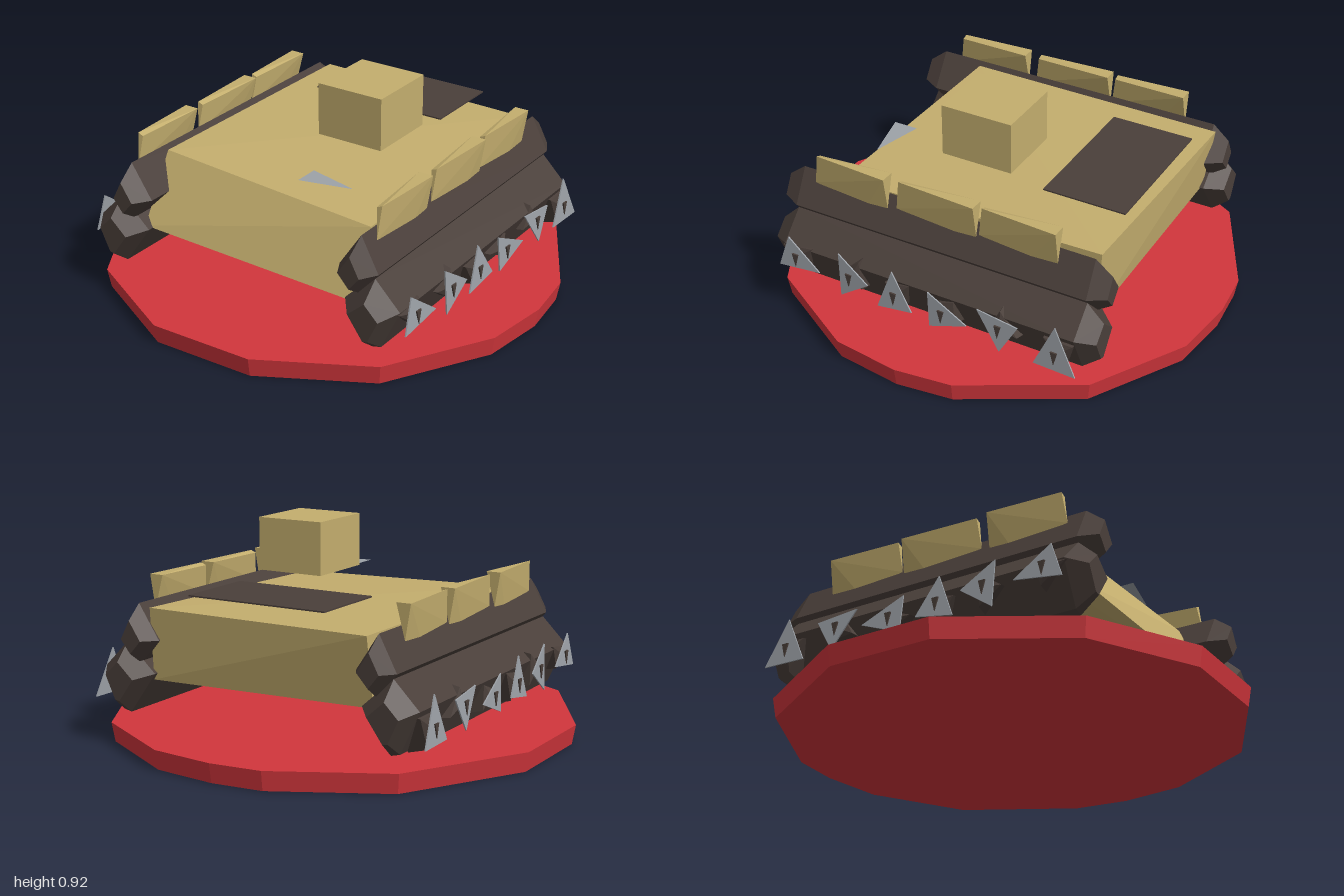
import * as THREE from 'three';
import { ConvexGeometry } from 'three/addons/geometries/ConvexGeometry.js';

const mat = (name, color, side = THREE.FrontSide) => {
  const m = new THREE.MeshStandardMaterial({ color, side });
  m.name = name;
  return m;
};

export function createModel() {
  const model = new THREE.Group();
  model.name = 'toyTank';
  const red = mat('red', 0xd2363c);
  const tan = mat('tan', 0xc4ae6e);
  const brown = mat('darkBrown', 0x4a3f3a);
  const grey = mat('steelGrey', 0x9da2a8, THREE.DoubleSide);

  const add = (parent, name, geometry, material) => {
    const m = new THREE.Mesh(geometry, material);
    m.name = name;
    parent.add(m);
    return m;
  };
  const solid = (pts) => new ConvexGeometry(pts.map((p) => new THREE.Vector3(...p)));
  const box = (x0, x1, y0, y1, z0, z1) =>
    new THREE.BoxGeometry(x1 - x0, y1 - y0, z1 - z0)
      .translate((x0 + x1) / 2, (y0 + y1) / 2, (z0 + z1) / 2);

  // Faceted round base
  const rim = [[-0.23, -0.98], [0, -1], [0.29, -0.965], [0.7, -0.73], [0.97, -0.25], [1, 0], [0.96, 0.3],
    [0.7, 0.74], [0.24, 0.985], [-0.23, 0.995], [-0.7, 0.75], [-1, 0.25], [-1, -0.22], [-0.7, -0.74]];
  add(model, 'base', solid(rim.flatMap(([x, z]) => [[x, 0.085, z], [x * 0.985, 0, z * 0.985]])), red);

  // Hull with a sloping nose
  add(model, 'hull', solid([
    [-0.535, 0.595, -0.705], [0.52, 0.59, -0.68], [-0.545, 0.595, 0.49], [0.52, 0.56, 0.54],
    [-0.54, 0.31, 0.665], [0.52, 0.285, 0.665], [-0.54, 0.29, 0.6], [0.52, 0.28, 0.6],
    [-0.54, 0.3, -0.66], [0.52, 0.28, -0.66],
  ]), tan);

  // Turret block, rear deck plate and front marker
  add(model, 'turret', box(0.01, 0.32, 0.69, 0.92, -0.16, 0.165), tan);
  add(model, 'rearDeckPlate', box(-0.33, 0.32, 0.658, 0.664, -0.68, -0.31), brown);
  const marker = new THREE.Shape([[0.15, -0.4], [0.15, -0.51], [0.38, -0.455]].map((p) => new THREE.Vector2(...p)));
  add(model, 'frontMarker', new THREE.ShapeGeometry(marker).rotateX(-Math.PI / 2).translate(0, 0.65, 0), grey);

  // Diamond-section beam with chamfered ends
  const beam = (section, ends) => {
    const n = section.length;
    const cx = section.reduce((s, p) => s + p[0], 0) / n;
    const cy = section.reduce((s, p) => s + p[1], 0) / n;
    return solid(ends.flatMap(([z, k]) => section.map(([x, y]) => [cx + (x - cx) * k, cy + (y - cy) * k, z])));
  };
  const ends = [[-0.755, 0.55], [-0.68, 1], [0.69, 1], [0.77, 0.55]];

  // Hub plates as corner points (z, y)
  const hubs = [
    [[0.65, 0.38], [0.70, 0.23], [0.49, 0.26]],
    [[0.40, 0.38], [0.39, 0.18], [0.25, 0.28]],
    [[0.14, 0.38], [0.21, 0.19], [0.04, 0.22]],
    [[-0.03, 0.34], [-0.04, 0.18], [-0.22, 0.25]],
    [[-0.26, 0.34], [-0.45, 0.32], [-0.37, 0.18]],
    [[-0.61, 0.38], [-0.52, 0.18], [-0.71, 0.18]],
  ];
  // Fender plates: front end, rear end, lowest point
  const fenders = [[0.62, 0.26, 0.36], [0.22, -0.16, -0.05], [-0.17, -0.53, -0.4]];

  for (const s of [1, -1]) {
    const side = new THREE.Group();
    side.name = s > 0 ? 'leftTrack' : 'rightTrack';
    model.add(side);
    const mirror = (pts) => pts.map(([x, y, z]) => [s * x, y, z]);

    const upper = [[0.575, 0.605], [0.475, 0.455], [0.57, 0.35], [0.655, 0.455]];
    const lower = [[0.64, 0.435], [0.5, 0.31], [0.63, 0.13], [0.67, 0.14], [0.755, 0.32]];
    add(side, 'upperTrack', beam(upper.map(([x, y]) => [s * x, y]), ends), brown);
    add(side, 'lowerTrack', beam(lower.map(([x, y]) => [s * x, y]), ends), brown);

    hubs.forEach((tri, i) => {
      const cz = (tri[0][0] + tri[1][0] + tri[2][0]) / 3;
      const cy = (tri[0][1] + tri[1][1] + tri[2][1]) / 3;
      // Jagged wheel behind the plate, turned against it
      const spikes = tri.flatMap(([z, y]) => {
        const pz = cz - (z - cz) * 0.85, py = cy - (y - cy) * 0.85;
        return [[0.67, py, pz], [0.755, cy + (py - cy) * 0.8, cz + (pz - cz) * 0.8]];
      });
      add(side, 'wheel' + (i + 1), solid(mirror([...spikes, [0.772, cy, cz]])), brown);
      // Thin hub plate with a dark bolt
      const plate = tri.flatMap(([z, y], k) => [[0.775 + k * 0.008, y, z], [0.781 + k * 0.008, y, z]]);
      add(side, 'hubPlate' + (i + 1), solid(mirror(plate)), grey);
      add(side, 'bolt' + (i + 1), solid(mirror([
        [0.77, cy + 0.02, cz - 0.015], [0.77, cy + 0.02, cz + 0.015], [0.77, cy - 0.04, cz],
        [0.795, cy + 0.02, cz - 0.015], [0.795, cy + 0.02, cz + 0.015], [0.795, cy - 0.04, cz],
      ])), brown);
    });

    // Upright wedge plates along the top of the track
    fenders.forEach(([front, rear, low], i) => {
      add(side, 'fender' + (i + 1), solid(mirror([
        [0.585, 0.69, front - 0.02], [0.61, 0.7, front - 0.02],
        [0.565, 0.7, rear], [0.63, 0.7, rear],
        [0.6, 0.56, front], [0.605, 0.55, rear], [0.605, 0.53, low],
      ])), tan);
    });
  }
  return model;
}
